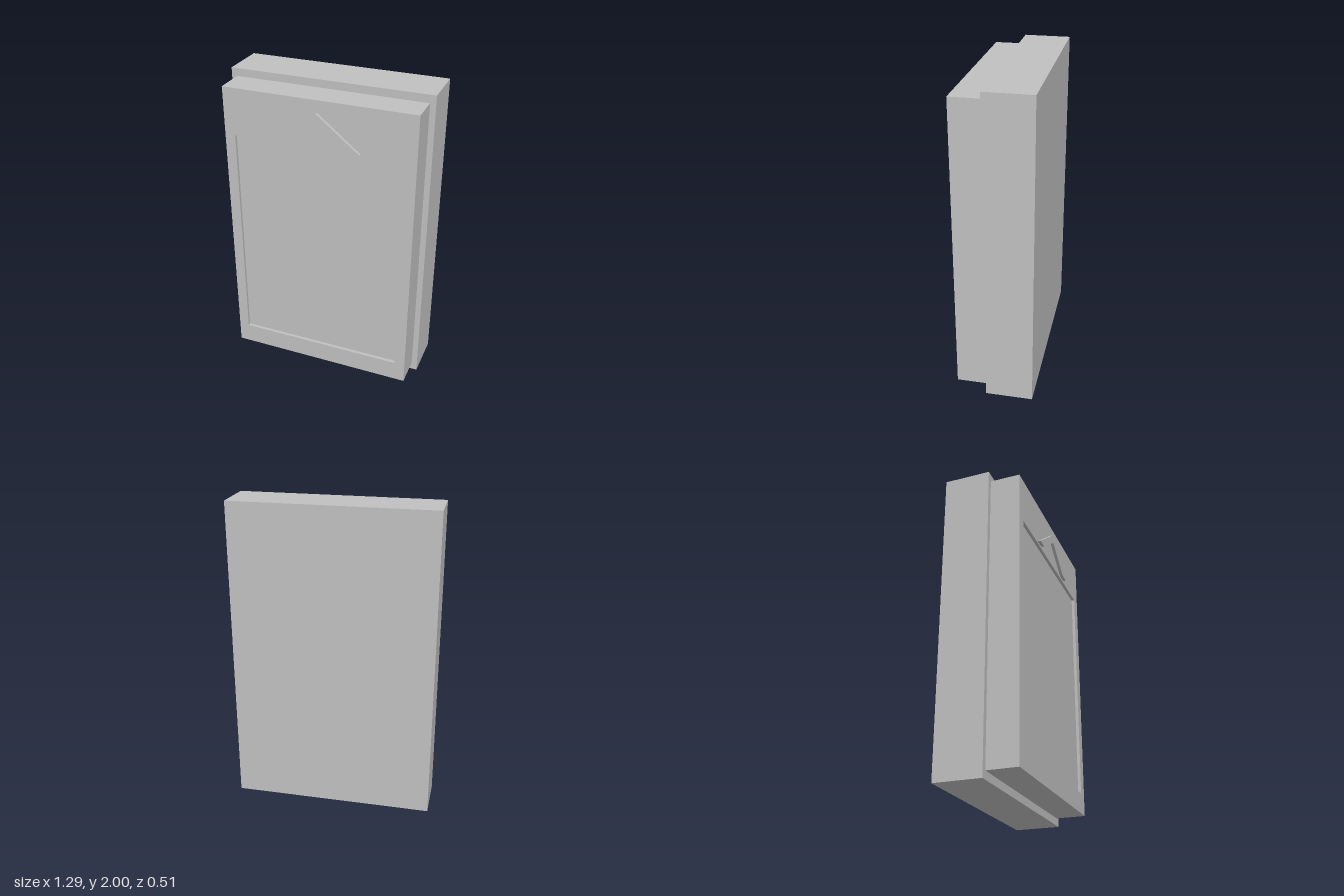
import * as THREE from 'three';

const BACK = -0.257, STEP = 0.042, FACE = 0.237, TIP = 0.257;
const RECESS = 0.02;

// Closed outline from a list of corner points
function outline(points, Kind = THREE.Shape) {
  return new Kind(points.map(([x, y]) => new THREE.Vector2(x, y)));
}

// Counter-clockwise rectangle corners, mirrored about x = 0
const rect = (hw, y0, y1) => [[-hw, y0], [hw, y0], [hw, y1], [-hw, y1]];

export function createModel() {
  const model = new THREE.Group();
  const grey = new THREE.MeshStandardMaterial({ color: 0xc0c0c0 });
  grey.name = 'plain grey';

  // Extrudes a shape between two depths
  function slab(name, shape, z0, z1) {
    const geometry = new THREE.ExtrudeGeometry(shape, { depth: z1 - z0, bevelEnabled: false });
    geometry.translate(0, 0, z0);
    const mesh = new THREE.Mesh(geometry, grey);
    mesh.name = name;
    model.add(mesh);
  }

  // Rear block, full height
  slab('rearBlock', outline(rect(0.645, 0, 2)), BACK, STEP);

  // Smaller front block, with a shallow framed recess
  const front = rect(0.609, 0.05, 1.95);
  slab('frontBlock', outline(front), STEP, FACE - RECESS);
  const frame = outline(front);
  frame.holes.push(outline(rect(0.542, 0.185, 1.645).reverse(), THREE.Path));
  slab('panelFrame', frame, FACE - RECESS, FACE);

  // Raised chevron above the panel
  slab('chevron', outline([
    [-0.272, 1.66], [-0.202, 1.66], [0, 1.81], [0.202, 1.66], [0.272, 1.66], [0, 1.875],
  ]), FACE, TIP);

  return model;
}
